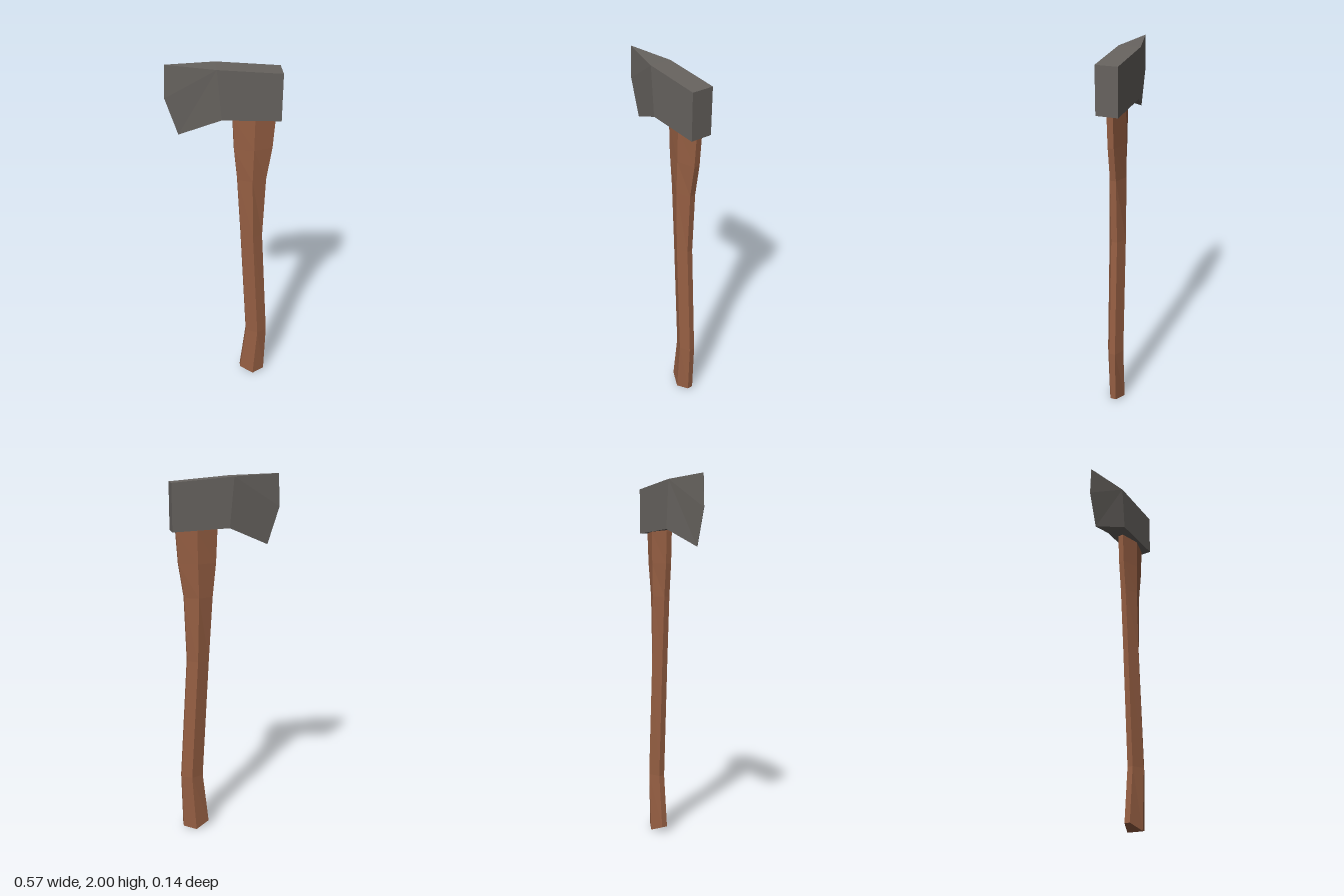
import * as THREE from 'three';

// Flat-faced geometry from points and counter-clockwise polygons
function facets(points, polygons) {
  const pos = [];
  for (const p of polygons)
    for (let i = 1; i < p.length - 1; i++)
      pos.push(...points[p[0]], ...points[p[i]], ...points[p[i + 1]]);
  const geo = new THREE.BufferGeometry();
  geo.setAttribute('position', new THREE.Float32BufferAttribute(pos, 3));
  geo.computeVertexNormals();
  return geo;
}

// Six-sided curved haft, lofted through cross-sections
function haftGeometry() {
  // y at left, ridge, right; then x at left, ridge, right
  const sections = [
    [0.036, 0.003, 0.016, 0.104, 0.180, 0.249],
    [0.335, 0.335, 0.335, 0.136, 0.201, 0.256],
    [1.02, 1.02, 1.02, 0.096, 0.160, 0.213],
    [1.37, 1.37, 1.37, 0.073, 0.150, 0.224],
    [1.55, 1.55, 1.55, 0.054, 0.154, 0.251],
    [1.72, 1.72, 1.72, 0.046, 0.156, 0.262],
    [1.80, 1.80, 1.80, 0.046, 0.156, 0.262],
  ];
  const points = [], polygons = [], zc = -0.006, side = 0.016, ridge = 0.046;
  for (const [yl, ym, yr, l, m, r] of sections)
    points.push(
      [r, yr, zc + side], [m, ym, zc + ridge], [l, yl, zc + side],
      [l, yl, zc - side], [m, ym, zc - ridge], [r, yr, zc - side]);
  for (let k = 0; k < sections.length - 1; k++)
    for (let i = 0; i < 6; i++) {
      const a = k * 6 + i, b = k * 6 + (i + 1) % 6;
      polygons.push([a, a + 6, b + 6, b]);
    }
  // End caps
  const top = (sections.length - 1) * 6;
  polygons.push([1, 2, 3, 4], [0, 1, 4, 5]);
  polygons.push([5, 4, 3, 2, 1, 0].map(i => top + i));
  return facets(points, polygons);
}

// Wedge head: square poll, thick waist, tapering to a thin bent edge
function headGeometry() {
  // x, y, half thickness, clockwise from the upper poll corner
  const outline = [
    [0.284, 1.962, 0.058], [0.284, 1.718, 0.058], [-0.012, 1.732, 0.058],
    [-0.226, 1.636, 0.0008], [-0.288, 1.83, 0.0008], [-0.281, 2.0, 0.0008],
    [-0.035, 1.989, 0.058],
  ];
  const n = outline.length;
  const points = [1, -1].flatMap(s => outline.map(([x, y, h]) => [x, y, s * h]));
  const polygons = [];
  // Cheeks
  for (const t of [[0, 1, 2, 6], [6, 2, 3], [6, 3, 4], [6, 4, 5]]) {
    polygons.push([...t].reverse());
    polygons.push(t.map(i => i + n));
  }
  // Rim
  for (let i = 0; i < n; i++) {
    const j = (i + 1) % n;
    polygons.push([i, j, j + n, i + n]);
  }
  return facets(points, polygons);
}

export function createModel() {
  const wood = new THREE.MeshStandardMaterial({ color: 0x965f43 });
  wood.name = 'wood';
  const steel = new THREE.MeshStandardMaterial({ color: 0x67635f });
  steel.name = 'steel';
  wood.flatShading = steel.flatShading = true;

  const haft = new THREE.Mesh(haftGeometry(), wood);
  haft.name = 'haft';
  const head = new THREE.Mesh(headGeometry(), steel);
  head.name = 'axeHead';

  // The whole tool is turned slightly about the vertical
  const axe = new THREE.Group();
  axe.name = 'axe';
  axe.add(haft, head);
  axe.rotation.y = -0.092;
  axe.position.z = -0.0135;

  const model = new THREE.Group();
  model.name = 'model';
  model.add(axe);
  return model;
}
